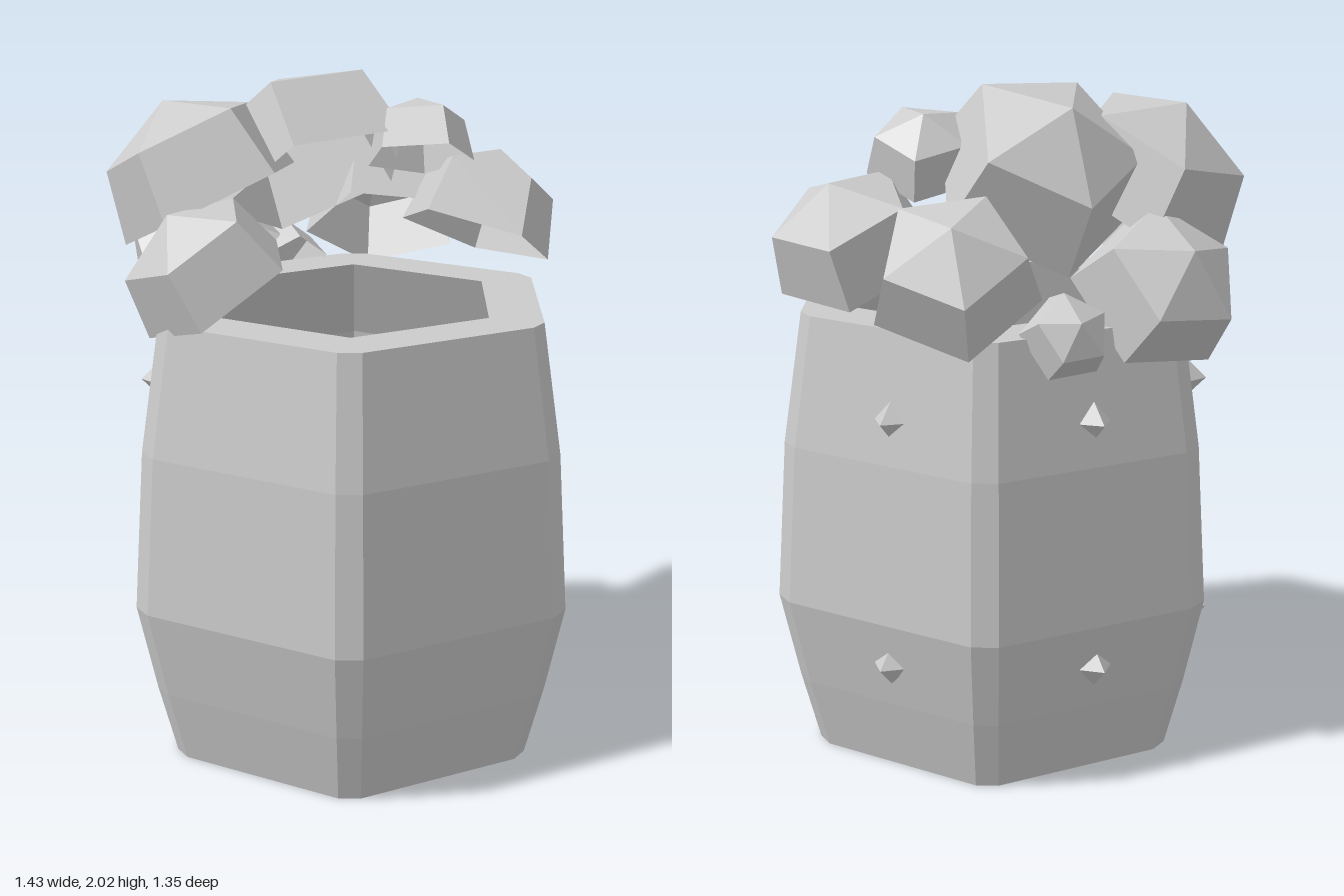
import * as THREE from 'three';

const CENTER_Z = 0.04;
const grey = (side) => new THREE.MeshStandardMaterial({ color: 0xcccccc, flatShading: true, side });

// Hexagonal loft with bevelled corners; each ring is [radius, y, bevel angle in degrees]
function hexLoft(rings) {
  const positions = [];
  const index = [];
  for (const [radius, y, bevel] of rings) {
    for (let k = 0; k < 6; k++) {
      for (const side of [-1, 1]) {
        const a = THREE.MathUtils.degToRad(60 * k + side * bevel);
        positions.push(radius * Math.cos(a), y, -radius * Math.sin(a));
      }
    }
  }
  for (let r = 0; r < rings.length - 1; r++) {
    for (let i = 0; i < 12; i++) {
      const a = r * 12 + i;
      const b = r * 12 + (i + 1) % 12;
      index.push(a, b, b + 12, a, b + 12, a + 12);
    }
  }
  const geometry = new THREE.BufferGeometry();
  geometry.setAttribute('position', new THREE.Float32BufferAttribute(positions, 3));
  geometry.setIndex(index);
  const flat = geometry.toNonIndexed();
  flat.computeVertexNormals();
  return flat;
}

// Open faceted dome: a wide five-sided fan on top and a skirt below
function domeGeometry() {
  const profile = [[1, -0.12], [0.84, 0.62], [0, 1]].map(([x, y]) => new THREE.Vector2(x, y));
  return new THREE.LatheGeometry(profile, 5);
}

export function createModel() {
  const model = new THREE.Group();
  const add = (name, geometry, parent = model, side = THREE.FrontSide) => {
    const mesh = new THREE.Mesh(geometry, grey(side));
    mesh.name = name;
    parent.add(mesh);
    return mesh;
  };

  // Bulging mug body with a narrow mouth and a hollow that widens below the rim
  const bevel = 3.2;
  const body = add('mugBody', hexLoft([
    [0, 0, bevel], [0.595, 0, bevel], [0.655, 0.22, bevel], [0.717, 0.49, bevel],
    [0.686, 0.97, bevel], [0.625, 1.36, bevel],
    [0.462, 1.36, 0], [0.61, 1.1, 0], [0.64, 0.97, 0], [0.66, 0.49, 0],
    [0.55, 0.06, 0], [0, 0.06, 0],
  ]));
  body.position.z = CENTER_Z;

  // Two rivets on each of the three rear faces
  const rivets = new THREE.Group();
  rivets.name = 'rivets';
  model.add(rivets);
  for (const degrees of [32, 91, 148]) {
    const a = THREE.MathUtils.degToRad(degrees);
    for (const [y, distance] of [[1.1, 0.585], [0.355, 0.605]]) {
      const rivet = add('rivet', new THREE.OctahedronGeometry(0.06), rivets);
      rivet.position.set(distance * Math.cos(a), y, CENTER_Z - distance * Math.sin(a));
      rivet.rotation.y = a;
    }
  }

  // Foam bubbles heaped over the rear rim: centre, radius, outward axis, turn
  const foam = new THREE.Group();
  foam.name = 'foam';
  model.add(foam);
  const bubbles = [
    [[-0.01, 1.72, -0.18], 0.32, [-0.05, 0.78, -0.62], Math.PI],
    [[-0.36, 1.68, -0.2], 0.3, [-0.3, 0.85, -0.32], Math.PI / 2],
    [[-0.46, 1.46, 0.05], 0.25, [-0.5, 0.8, -0.15], 0.5],
    [[-0.26, 1.42, -0.44], 0.25, [-0.1, 0.65, -0.75], 0],
    [[0.08, 1.35, -0.53], 0.13, [0.05, 0.5, -0.8], 0],
    [[0.34, 1.5, -0.36], 0.25, [0.3, 0.75, -0.55], Math.PI / 2],
    [[0.47, 1.53, 0], 0.25, [0.4, 0.85, -0.15], 0],
    [[0.25, 1.78, 0.01], 0.17, [0.2, 0.9, -0.4], 0],
  ];
  const up = new THREE.Vector3(0, 1, 0);
  for (const [center, radius, axis, turn] of bubbles) {
    const bubble = add('foamBubble', domeGeometry(), foam, THREE.DoubleSide);
    bubble.position.set(...center);
    bubble.scale.setScalar(radius);
    bubble.quaternion.setFromUnitVectors(up, new THREE.Vector3(...axis).normalize());
    bubble.rotateY(turn);
  }

  return model;
}
